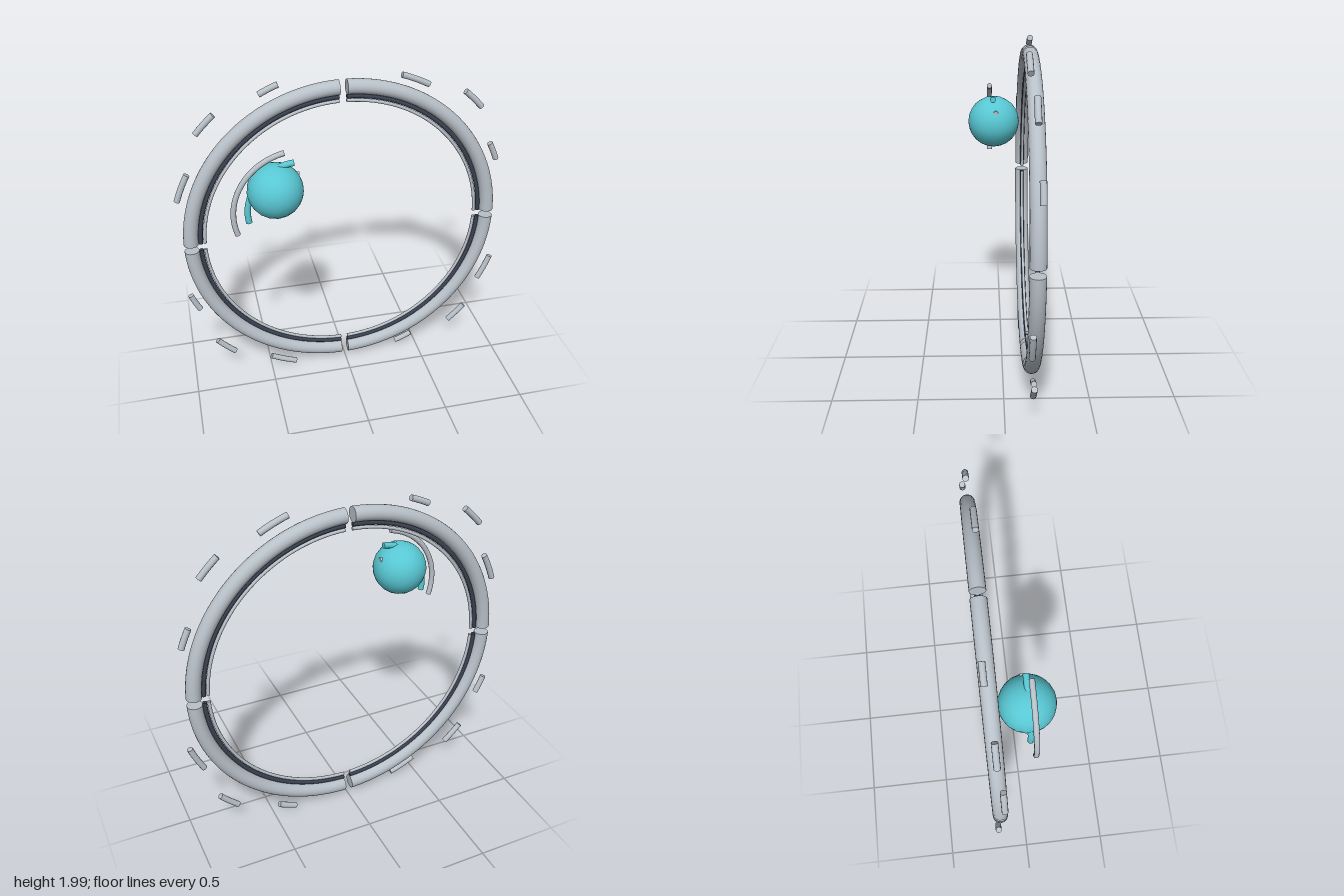
import * as THREE from 'three';

const rad = THREE.MathUtils.degToRad;
const mat = (name, color) => {
  const m = new THREE.MeshStandardMaterial({ color });
  m.name = name;
  return m;
};

// Capped round tube following a circle from angle a0 to a1 (degrees)
function arc(name, material, R, r, a0, a1, x, y, z, segments, sides = 12) {
  const g = new THREE.Group();
  g.name = name;
  g.position.set(x, y, z);
  const tube = new THREE.Mesh(new THREE.TorusGeometry(R, r, sides, segments, rad(a1 - a0)), material);
  tube.name = name + 'Tube';
  tube.rotation.z = rad(a0);
  g.add(tube);
  for (const [a, turn] of [[a0, Math.PI / 2], [a1, -Math.PI / 2]]) {
    const pivot = new THREE.Group();
    pivot.rotation.z = rad(a);
    const cap = new THREE.Mesh(new THREE.CircleGeometry(r, sides), material);
    cap.name = name + 'Cap';
    cap.position.x = R;
    cap.rotation.x = turn;
    pivot.add(cap);
    g.add(pivot);
  }
  return g;
}

export function createModel() {
  const model = new THREE.Group();
  const silver = mat('silver', 0xb8c0c8);
  const dark = mat('dark slate', 0x3a4050);
  const teal = mat('teal', 0x58c8d4);
  const cx = -0.003, cy = 1.005, cz = -0.16;

  // Four ring quarters, each with three nested tubes and three outer dashes
  for (let q = 0; q < 4; q++) {
    const quarter = new THREE.Group();
    quarter.name = 'ringQuarter' + (q + 1);
    quarter.position.set(cx, cy, 0);
    quarter.rotation.z = q * Math.PI / 2;
    quarter.add(
      arc('outerTube', silver, 0.928, 0.044, 1.35, 88.65, 0, 0, cz, 48, 20),
      arc('darkTube', dark, 0.871, 0.013, 1.4, 88.6, 0, 0, cz, 48),
      arc('innerTube', silver, 0.846, 0.010, 1.4, 88.6, 0, 0, cz, 48)
    );
    const dashes = [
      [66.2, 1.034, 0.178, -0.137],
      [45, 1.108, 0.15, -0.157],
      [23.8, 1.034, 0.12, -0.178],
    ];
    for (const [a, R, length, z] of dashes) {
      const half = THREE.MathUtils.radToDeg(length / R / 2);
      quarter.add(arc('dash', silver, R, 0.018, a - half, a + half, 0, 0, z, 6));
    }
    model.add(quarter);
  }

  // Faceted ball
  const ballMaterial = teal;
  const ball = new THREE.Mesh(new THREE.IcosahedronGeometry(0.16, 3), ballMaterial);
  ball.name = 'ball';
  ball.position.set(-0.438, 1.442, 0.042);
  model.add(ball);

  // Trailing arcs sweeping past and through the ball
  const ax = -0.307, ay = 1.31;
  model.add(
    arc('outerTrail', silver, 0.377, 0.016, 101.5, 197.4, ax, ay, 0.068, 32),
    arc('middleTrail', teal, 0.294, 0.018, 94, 190.5, ax, ay, 0.046, 32),
    arc('innerTrail', silver, 0.212, 0.015, 87.5, 182, ax, ay, 0.03, 24)
  );
  return model;
}
